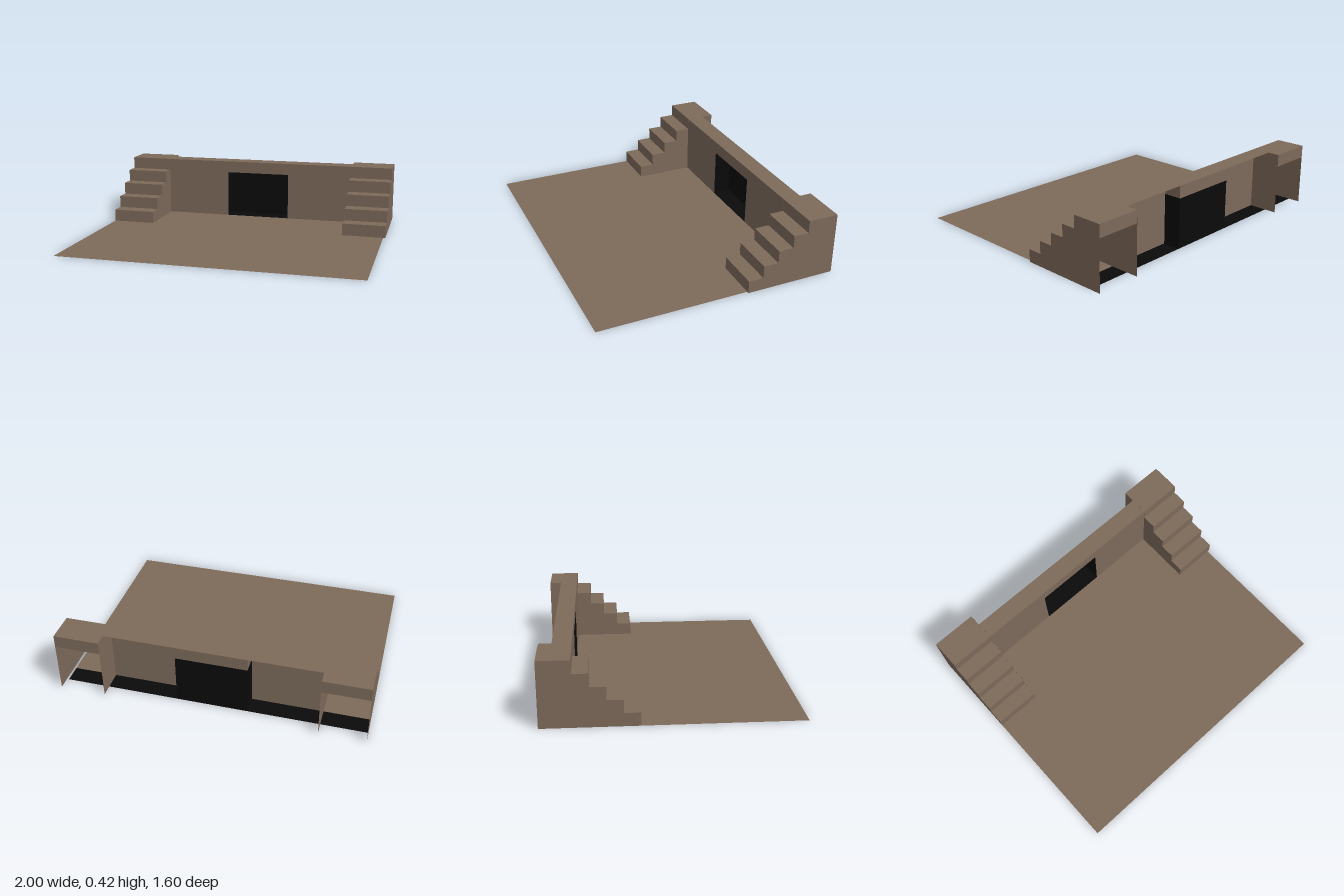
import * as THREE from 'three';

const H = 0.417, STEP = H / 5;         // total height, step rise
const FRONT = -0.6, BACK = -0.72;      // wall depth range
const DOOR_W = 0.465, DOOR_H = STEP * 4;

const stone = new THREE.MeshStandardMaterial({ color: 0x7d6a5a, side: THREE.DoubleSide });
const black = new THREE.MeshStandardMaterial({ color: 0x0a0a0a, side: THREE.DoubleSide });

function add(parent, name, geometry, material, x = 0, y = 0, z = 0) {
  const mesh = new THREE.Mesh(geometry, material);
  mesh.name = name;
  mesh.position.set(x, y, z);
  parent.add(mesh);
  return mesh;
}

// Horizontal sheet spanning x0..x1 and z0..z1
function sheet(parent, name, material, x0, x1, z0, z1, y) {
  const g = new THREE.PlaneGeometry(x1 - x0, z1 - z0).rotateX(-Math.PI / 2);
  return add(parent, name, g, material, (x0 + x1) / 2, y, (z0 + z1) / 2);
}

// Hollow staircase: five blocks between two stepped side sheets
function createStairs(name, side) {
  const stairs = new THREE.Group();
  stairs.name = name;
  const profile = new THREE.Shape();
  profile.moveTo(0.8, 0);
  profile.lineTo(0.2, 0);
  for (let i = 0; i < 5; i++) {
    const front = 0.2 + i * 0.1;
    const back = i === 4 ? 0.8 : front + 0.1;
    profile.lineTo(front, (i + 1) * STEP);
    profile.lineTo(back, (i + 1) * STEP);
    add(stairs, 'step', new THREE.BoxGeometry(0.299, STEP, back - front), stone,
      side * 0.85, (i + 0.5) * STEP, -(front + back) / 2);
  }
  const sideGeometry = new THREE.ShapeGeometry(profile).rotateY(Math.PI / 2);
  add(stairs, 'innerSide', sideGeometry, stone, side * 0.7);
  add(stairs, 'outerSide', sideGeometry, stone, side);
  return stairs;
}

export function createModel() {
  const model = new THREE.Group();
  model.name = 'stairCourt';

  // Ground and the dark strip behind the wall
  sheet(model, 'floor', stone, -1, 0.985, FRONT, 0.795, 0);
  sheet(model, 'backStrip', black, -1, 0.985, BACK, FRONT, 0);

  // Front wall with a doorway, capped by a ledge
  const wall = new THREE.Shape();
  const w = DOOR_W / 2;
  [[-0.7, 0], [-w, 0], [-w, DOOR_H], [w, DOOR_H], [w, 0], [0.7, 0], [0.7, H], [-0.7, H]]
    .forEach(([x, y], i) => (i ? wall.lineTo(x, y) : wall.moveTo(x, y)));
  add(model, 'frontWall', new THREE.ShapeGeometry(wall), stone, 0, 0, FRONT);
  sheet(model, 'ledge', stone, -0.7, 0.7, BACK, FRONT, H);

  // Lintel block above the door recess
  const depth = FRONT - BACK, mid = (FRONT + BACK) / 2;
  add(model, 'lintel', new THREE.BoxGeometry(DOOR_W, STEP - 0.002, depth - 0.002), stone,
    0, DOOR_H + STEP / 2, mid - 0.001);

  // Dark recess, open at the front
  const recess = new THREE.Group();
  recess.name = 'doorRecess';
  model.add(recess);
  add(recess, 'recessBack', new THREE.PlaneGeometry(DOOR_W, DOOR_H), black, 0, DOOR_H / 2, BACK);
  for (const s of [-1, 1]) {
    add(recess, 'recessSide', new THREE.PlaneGeometry(depth, DOOR_H).rotateY(Math.PI / 2), black,
      s * w, DOOR_H / 2, mid);
  }
  sheet(recess, 'recessCeiling', black, -w, w, BACK, FRONT, DOOR_H - 0.001);

  // Stairs on both ends
  model.add(createStairs('leftStairs', 1), createStairs('rightStairs', -1));
  return model;
}
